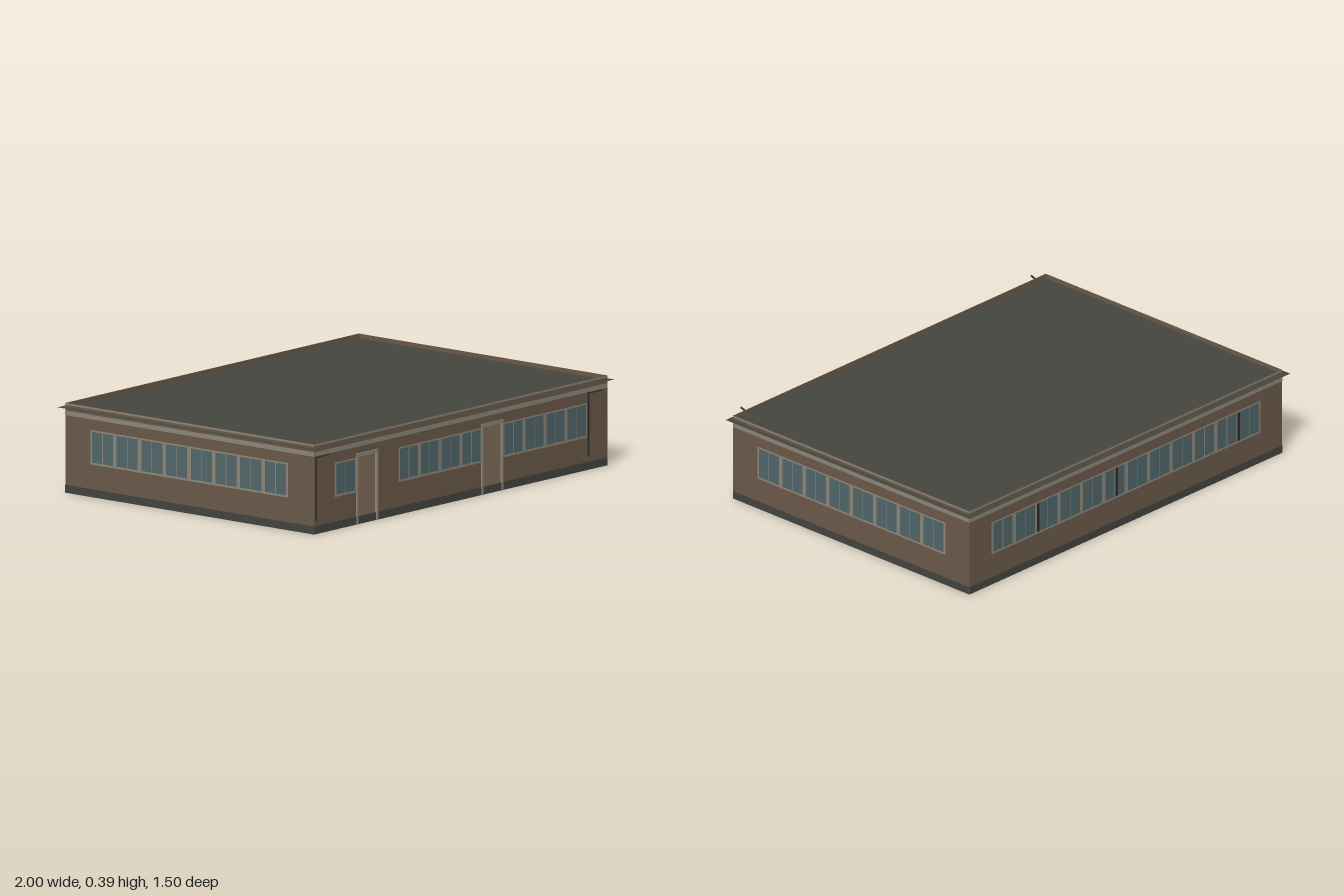
import * as THREE from 'three';

const mat = (name, color, side = THREE.FrontSide) => {
  const m = new THREE.MeshStandardMaterial({ color, side });
  m.name = name;
  return m;
};

export function createModel() {
  const wall = mat('brown wall', 0x6c5a4b);
  const trim = mat('beige trim', 0x90897a);
  const glass = mat('window glass', 0x52686b);
  const plinth = mat('dark plinth', 0x45453f);
  const roofing = mat('roofing', 0x45463f, THREE.DoubleSide);
  const iron = mat('dark iron', 0x302c29);

  const model = new THREE.Group();
  model.name = 'longLowBuilding';

  const W = 1.95, D = 1.395, ZC = -0.0275, TOP = 0.393, ROOF_Y = 0.374, BAY = 0.155;
  const DOORS = [-0.625, 0.207], DOOR_W = 0.13, DOOR_H = 0.3, SILL = 0.035;

  const add = (parent, name, geometry, material) => {
    const mesh = new THREE.Mesh(geometry, material);
    mesh.name = name;
    parent.add(mesh);
    return mesh;
  };
  // Box given by its limits on each axis
  const block = (parent, name, material, x0, x1, y0, y1, z0, z1) => {
    const mesh = add(parent, name, new THREE.BoxGeometry(x1 - x0, y1 - y0, z1 - z0), material);
    mesh.position.set((x0 + x1) / 2, (y0 + y1) / 2, (z0 + z1) / 2);
    return mesh;
  };
  // Flat panel facing +z
  const panel = (parent, name, material, x0, x1, y0, y1, z) => {
    const mesh = add(parent, name, new THREE.PlaneGeometry(x1 - x0, y1 - y0), material);
    mesh.position.set((x0 + x1) / 2, (y0 + y1) / 2, z);
    return mesh;
  };
  // Rectangular outline, for shapes and their holes
  const rect = (Type, x, y, w, h) => new Type([
    [-1, -1], [1, -1], [1, 1], [-1, 1],
  ].map(([a, b]) => new THREE.Vector2(x + (a * w) / 2, y + (b * h) / 2)));

  // A run of paired panes on a beige frame, split into equal units
  const windowRun = (parent, u0, u1, units) => {
    const run = new THREE.Group();
    run.name = 'windowRun';
    parent.add(run);
    panel(run, 'windowFrame', trim, u0, u1, 0.142, 0.294, 0.0015);
    const pitch = (u1 - u0) / units;
    for (let i = 0; i < units; i++) {
      const a = u0 + i * pitch + 0.01, b = u0 + (i + 1) * pitch - 0.01, m = (a + b) / 2;
      panel(run, 'pane', glass, a, m - 0.002, 0.152, 0.287, 0.003);
      panel(run, 'pane', glass, m + 0.002, b, 0.152, 0.287, 0.003);
    }
  };

  // Recessed entrance without a floor
  const entrance = (parent, c) => {
    const g = new THREE.Group();
    g.name = 'entrance';
    g.position.x = c;
    parent.add(g);
    const h = DOOR_W / 2, back = -BAY + 0.008;
    for (const s of [-1, 1]) {
      const side = block(g, 'recessWall', wall, -0.003, 0.003, 0, DOOR_H, -BAY, -0.002);
      side.position.x = s * (h + 0.003);
      const jamb = block(g, 'doorJamb', trim, -0.005, 0.005, 0, 0.31, -0.004, 0.005);
      jamb.position.x = s * (h + 0.001);
      const pane = panel(g, 'doorPane', glass, -0.028, 0.028, 0.152, 0.287, back + 0.004);
      pane.position.x = s * 0.03;
    }
    block(g, 'doorLintel', trim, -h - 0.006, h + 0.006, 0.294, 0.31, -0.004, 0.005);
    block(g, 'recessCeiling', trim, -h, h, DOOR_H - 0.005, DOOR_H, -BAY, -0.004);
    block(g, 'doorLeaf', trim, -h, h, 0, DOOR_H, back - 0.006, back + 0.002);
  };

  // One outside wall, facing local +z
  const facade = (name, width, runs, doors, x, z, turn) => {
    const g = new THREE.Group();
    g.name = name;
    g.position.set(x, 0, z);
    g.rotation.y = turn;
    model.add(g);
    const h = width / 2, outline = rect(THREE.Shape, 0, TOP / 2, width, TOP);
    for (const c of doors)
      outline.holes.push(rect(THREE.Path, c, (SILL + DOOR_H) / 2, DOOR_W, DOOR_H - SILL));
    const body = add(g, 'wall', new THREE.ExtrudeGeometry(outline, { depth: 0.003, bevelEnabled: false }), wall);
    body.position.z = -0.003;
    panel(g, 'plinth', plinth, -h, h, 0, SILL, 0.002);
    panel(g, 'corniceBand', trim, -h, h, 0.34, 0.36, 0.002);
    panel(g, 'eavesBand', trim, -h, h, 0.385, TOP, 0.002);
    for (const r of runs) windowRun(g, ...r);
    for (const c of doors) entrance(g, c);

    // Partitions between the hollow bays behind the wall
    const count = Math.round(width / 0.16);
    for (let i = 1; i < count; i++) {
      const u = -h + (i * width) / count;
      if (doors.some(c => Math.abs(u - c) < DOOR_W / 2 + 0.01)) continue;
      block(g, 'bayPartition', wall, u - 0.002, u + 0.002, 0.004, ROOF_Y - 0.004, -BAY, -0.003);
    }
    block(g, 'innerWall', trim, -h + BAY, h - BAY, 0.004, ROOF_Y - 0.004, -BAY - 0.006, -BAY);
    return g;
  };

  const frontZ = ZC + D / 2, backZ = ZC - D / 2;
  facade('frontWall', W, [[-0.84, -0.695, 1], [-0.417, 0.137, 4], [0.277, 0.838, 4]], DOORS, 0, frontZ, 0);
  const back = facade('backWall', W, [[-0.838, 0.838, 12]], [], 0, backZ, Math.PI);
  facade('leftWall', D, [[-0.553, 0.557, 8]], [], W / 2, ZC, Math.PI / 2);
  facade('rightWall', D, [[-0.557, 0.553, 8]], [], -W / 2, ZC, -Math.PI / 2);
  for (const u of [-0.55, -0.06, 0.7])
    panel(back, 'darkMullion', iron, u - 0.007, u + 0.007, 0.152, 0.287, 0.0045);

  // Thin overhanging roof sheet, just below the wall tops
  const roof = add(model, 'roof', new THREE.PlaneGeometry(2, 1.44), roofing);
  roof.rotation.x = -Math.PI / 2;
  roof.position.set(0, ROOF_Y, -0.03);

  // Floor with openings, and the shafts above them:
  // x, z, width, depth, height, cells, long walls, ceiling
  const shafts = [
    [0.147, -0.32, 0.28, 0.25, 0.06, 1, trim, roofing],
    [-0.07, 0.045, 0.4, 0.13, 0.3, 1, glass, trim],
    [-0.556, -0.31, 0.29, 0.25, 0.3, 1, trim, trim],
    [-0.07, 0.32, 0.95, 0.13, 0.3, 7, trim, trim],
  ];
  const slab = rect(THREE.Shape, 0, ZC, W - 2 * BAY, D - 2 * BAY);
  for (const [x, z, w, d, height, cells, lining, ceiling] of shafts) {
    slab.holes.push(rect(THREE.Path, x, z, w, d));
    const g = new THREE.Group();
    g.name = 'floorShaft';
    g.position.set(x, 0, z);
    model.add(g);
    for (const s of [-1, 1])
      block(g, 'shaftWall', lining, -w / 2, w / 2, 0.006, height, -0.002, 0.002).position.z = (s * d) / 2;
    for (let i = 0; i <= cells; i++) {
      const u = -w / 2 + (i * w) / cells;
      block(g, 'shaftPartition', trim, u - 0.002, u + 0.002, 0.006, height, -d / 2, d / 2);
    }
    block(g, 'shaftCeiling', ceiling, -w / 2, w / 2, height, height + 0.004, -d / 2, d / 2);
  }
  // Glazing along the second square shaft
  for (let i = 0; i < 4; i++)
    block(model, 'shaftPane', glass, -0.69 + i * 0.068, -0.632 + i * 0.068, 0.03, 0.25, -0.192, -0.188);
  const floor = add(model, 'floor', new THREE.ShapeGeometry(slab), trim);
  floor.rotation.x = Math.PI / 2;
  floor.position.y = 0.005;

  // Downpipes with a sloping spout at the top
  for (const x of [-0.967, 0.843]) {
    const g = new THREE.Group();
    g.name = 'downpipe';
    g.position.x = x;
    model.add(g);
    block(g, 'pipe', iron, -0.003, 0.003, 0.06, 0.34, frontZ + 0.003, frontZ + 0.008);
    const spout = add(g, 'spout', new THREE.BoxGeometry(0.006, 0.006, 0.08), iron);
    spout.position.set(0, 0.348, 0.711);
    spout.rotation.x = -0.32;
  }
  return model;
}
